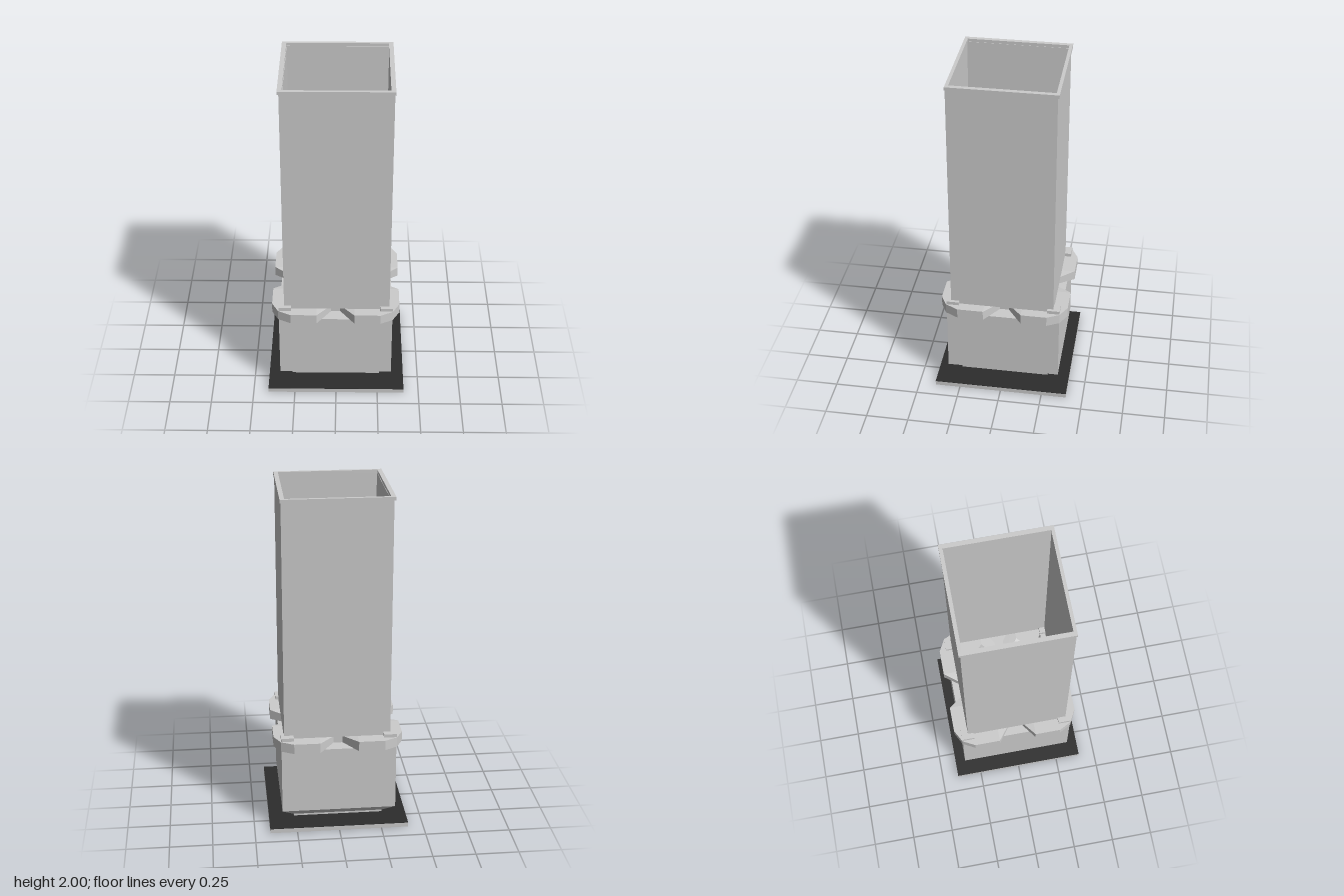
import * as THREE from 'three';
import { ConvexGeometry } from 'three/addons/geometries/ConvexGeometry.js';

const CX = -0.003, CZ = -0.004; // slight offset of the lower body

export function createModel() {
  const model = new THREE.Group();
  const grey = new THREE.MeshStandardMaterial({ color: 0xcccccc, flatShading: true });
  grey.name = 'lightGrey';
  const dark = new THREE.MeshStandardMaterial({ color: 0x2c2c2c, flatShading: true });
  dark.name = 'darkGrey';

  function add(name, geometry, material, x = 0, y = 0, z = 0) {
    const mesh = new THREE.Mesh(geometry, material);
    mesh.name = name;
    mesh.position.set(x, y, z);
    model.add(mesh);
    return mesh;
  }
  const box = (w, h, d) => new THREE.BoxGeometry(w, h, d);

  // Square frame, hollow through the middle, rising from y = 0
  function frame(halfX, halfZ, inner, height) {
    const square = (path, a, b) => {
      path.moveTo(-a, -b);
      path.lineTo(a, -b);
      path.lineTo(a, b);
      path.lineTo(-a, b);
      path.closePath();
      return path;
    };
    const shape = square(new THREE.Shape(), halfX, halfZ);
    shape.holes.push(square(new THREE.Path(), inner, inner));
    const g = new THREE.ExtrudeGeometry(shape, { depth: height, bevelEnabled: false });
    return g.rotateX(-Math.PI / 2);
  }

  // Ground slab: grey with a dark top
  add('baseSlab', box(0.82, 0.026, 0.8), grey, 0, 0.013, 0);
  add('baseSlabTop', box(0.82, 0.002, 0.8), dark, 0, 0.027, 0);
  add('foot', box(0.36, 0.014, 0.36), dark, CX, 0.034, CZ);
  add('bottomPlate', box(0.53, 0.012, 0.53), grey, CX, 0.044, CZ);

  // Body with its lower edges sloping inwards
  const bevel = new THREE.CylinderGeometry(0.336 * Math.SQRT2, 0.266 * Math.SQRT2, 0.058, 4, 1);
  add('bodyBevel', bevel.rotateY(Math.PI / 4), grey, CX, 0.079, CZ);
  add('body', box(0.672, 0.397, 0.672), grey, CX, 0.3065, CZ);

  // Collar: a band pinched inwards at the middle of each side
  const side = [
    // outer (along, out), inner top, inner bottom, low y, high y
    [[-0.265, 0.378], [-0.265, 0.265], [-0.232, 0.232], 0.505, 0.565],
    [[-0.112, 0.378], [-0.112, 0.265], [-0.165, 0.232], 0.505, 0.565],
    [[-0.027, 0.265], [-0.022, 0.162], [-0.022, 0.162], 0.512, 0.553],
  ];
  const flip = ([a, b]) => [-a, b];
  const stations = [
    ...side,
    ...side.slice().reverse().map(([o, t, b, lo, hi]) => [flip(o), flip(t), flip(b), lo, hi]),
    [[0.338, 0.34], [0.265, 0.265], [0.232, 0.232], 0.505, 0.565],
  ];
  const positions = [], index = [];
  for (let k = 0; k < 4; k++) {
    const c = Math.round(Math.cos(k * Math.PI / 2)), s = Math.round(Math.sin(k * Math.PI / 2));
    const put = ([a, b], y) => positions.push(a * c + b * s, y, b * c - a * s);
    for (const [o, t, b, lo, hi] of stations) {
      put(o, lo);
      put(o, hi);
      put(t, hi);
      put(b, lo);
    }
  }
  const count = stations.length * 4;
  for (let i = 0; i < count; i++) {
    const n = (i + 1) % count;
    for (let j = 0; j < 4; j++) {
      const m = (j + 1) % 4;
      const a = i * 4 + j, b = n * 4 + j, c = n * 4 + m, d = i * 4 + m;
      index.push(a, b, c, a, c, d);
    }
  }
  const band = new THREE.BufferGeometry();
  band.setAttribute('position', new THREE.Float32BufferAttribute(positions, 3));
  band.setIndex(index);
  const collarGeometry = band.toNonIndexed();
  collarGeometry.computeVertexNormals();
  add('collar', collarGeometry, grey, CX, 0, CZ);

  // Corner blocks and the four-armed ornament on the inner floor
  for (const sx of [-1, 1]) {
    for (const sz of [-1, 1]) {
      add('cornerBlock', box(0.074, 0.02, 0.074), grey, CX + sx * 0.3, 0.575, CZ + sz * 0.3);
      const arm = [
        [0.09, 0, 0.09], [0.03, 0, 0.09], [0.09, 0, 0.03], [0, 0, 0],
        [0.084, 0.03, 0.084], [0.034, 0.02, 0.084], [0.084, 0.02, 0.034], [0.004, 0.01, 0.004],
      ].map(([x, y, z]) => new THREE.Vector3(x * sx, y, z * sz));
      add('floorOrnamentArm', new ConvexGeometry(arm), grey, CX, 0.505, -0.007);
    }
  }

  // Tall open tube and its rim
  add('tube', frame(0.311, 0.305, 0.292, 1.417), grey, 0.004, 0.565, 0.003);
  add('rim', frame(0.318, 0.311, 0.292, 0.02), grey, 0.002, 1.98, 0);

  return model;
}
